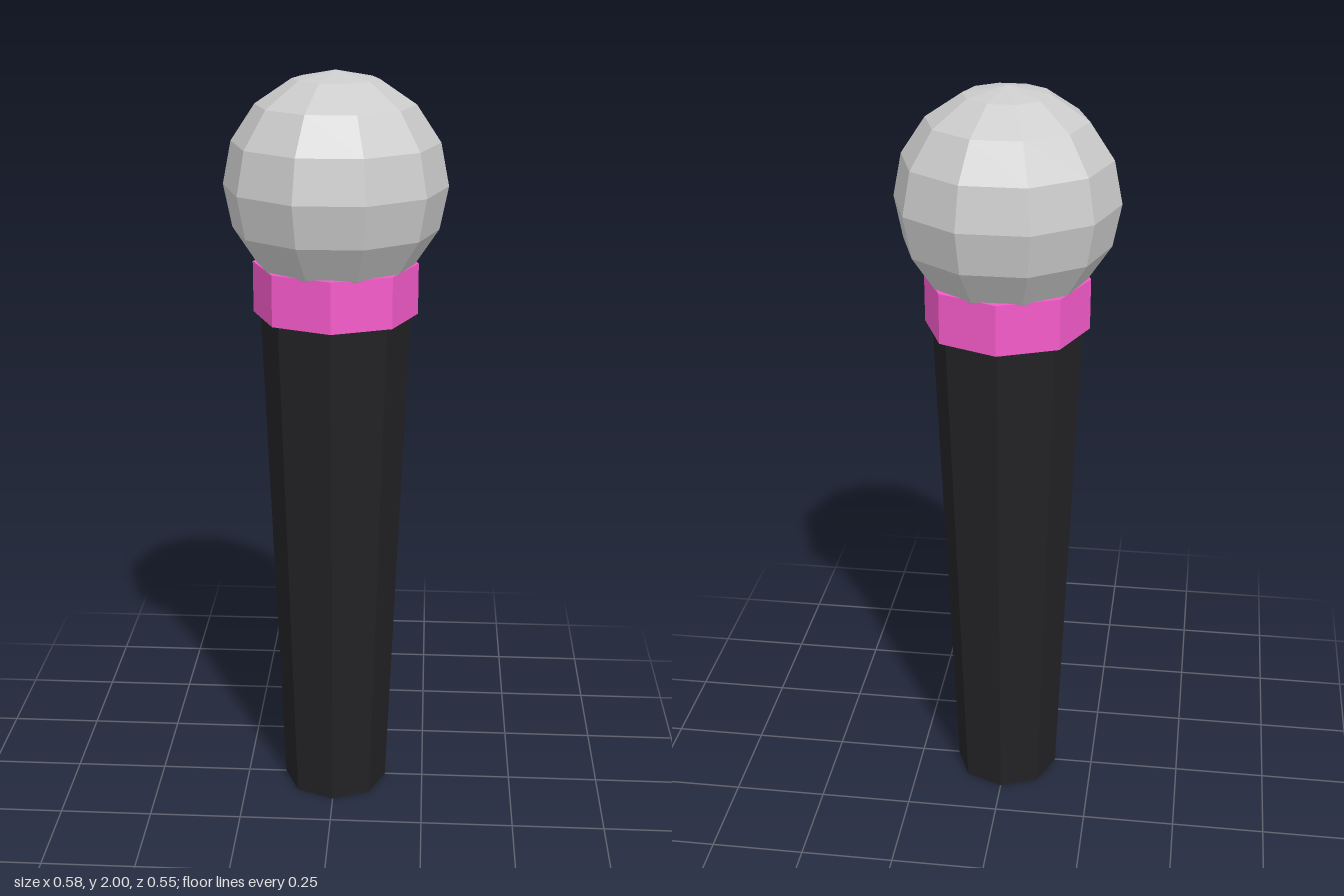
import * as THREE from 'three';

export function createModel() {
  const model = new THREE.Group();

  const addPart = (name, geometry, color, y) => {
    const material = new THREE.MeshStandardMaterial({ color, flatShading: true });
    const mesh = new THREE.Mesh(geometry, material);
    mesh.name = name;
    mesh.position.y = y;
    model.add(mesh);
  };

  // Tapered eight-sided grip
  addPart('handle', new THREE.CylinderGeometry(0.197, 0.143, 1.39, 8), 0x222225, 0.695);

  // Straight eight-sided ring between grip and head
  addPart('collar', new THREE.CylinderGeometry(0.215, 0.215, 0.134, 8), 0xf55bca, 1.445);

  // Faceted ball, its lower end sunk into the collar
  addPart('head', new THREE.SphereGeometry(0.288, 10, 8), 0xcccccc, 1.712);

  return model;
}
